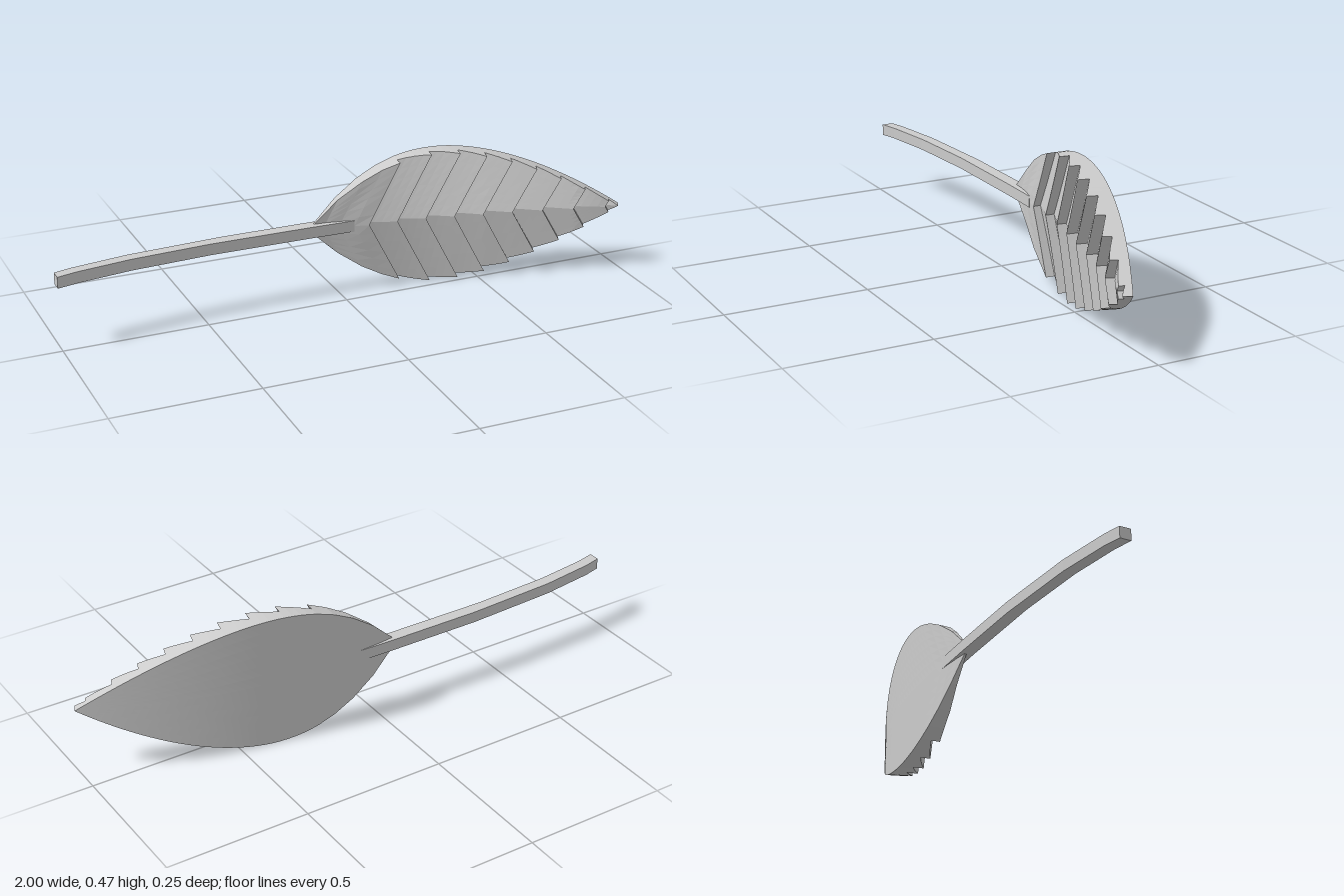
import * as THREE from 'three';

const MID = 0.235; // height of the midrib
const SWEEP = 0.53; // how far the chevrons lean towards the tip

// half width of the leaf outline at x
function halfWidth(x) {
  if (x <= -0.1 || x >= 1) return 0;
  return x < 0.38
    ? MID * (1 - Math.pow((0.38 - x) / 0.48, 2.2))
    : MID * (1 - Math.pow((x - 0.38) / 0.62, 1.8));
}

// where a chevron starting at c on the midrib meets the outline
function chevronReach(c) {
  let lo = 0, hi = 0.3;
  for (let i = 0; i < 40; i++) {
    const m = (lo + hi) / 2;
    if (m < halfWidth(c + SWEEP * m)) lo = m; else hi = m;
  }
  return lo;
}

// thickness at the crest of a ridge
const CREST = [[-0.1, 0.006], [0.08, 0.058], [0.2, 0.069], [0.43, 0.085], [0.54, 0.088],
  [0.65, 0.083], [0.75, 0.076], [0.86, 0.066], [0.95, 0.046], [1, 0.032]];
function crest(x) {
  for (let i = 1; i < CREST.length; i++) {
    const [x0, h0] = CREST[i - 1], [x1, h1] = CREST[i];
    if (x <= x1) return h0 + (h1 - h0) * (x - x0) / (x1 - x0);
  }
  return CREST[CREST.length - 1][1];
}

// bend the flat leaf: the thickness h stands square to the curved back
function bend(x, y, h) {
  const slope = 0.6 * (x - 0.15), n = Math.hypot(1, slope);
  return [x - slope * h / n, MID + y, -0.123 + 0.3 * (x - 0.15) ** 2 + h / n];
}

function leafGeometry() {
  const ROWS = 12, STEPS = 4;
  const joints = [-0.1];
  for (let k = 0; k < 9; k++) joints.push(0.11 + 0.106 * k);
  joints.push(1);

  // chevron columns: each band ramps up, then drops to the start of the next
  const columns = [];
  for (let b = 0; b < joints.length - 1; b++) {
    for (let i = 0; i <= STEPS; i++) {
      const s = i / STEPS;
      const c = joints[b] + (joints[b + 1] - joints[b]) * s;
      const w = chevronReach(c);
      const front = [], back = [];
      for (let j = 0; j <= ROWS; j++) {
        const y = w * (2 * j / ROWS - 1), x = c + SWEEP * Math.abs(y);
        front.push(bend(x, y, crest(x) * (1 - 0.45 * (1 - s))));
        back.push(bend(x, y, 0));
      }
      columns.push({ front, back });
    }
  }

  const pos = [];
  const quad = (a, b, c, d) => pos.push(...a, ...b, ...c, ...a, ...c, ...d);
  for (let i = 0; i < columns.length - 1; i++) {
    const p = columns[i], q = columns[i + 1];
    for (let j = 0; j < ROWS; j++) {
      quad(p.front[j], q.front[j], q.front[j + 1], p.front[j + 1]);
      quad(p.back[j], p.back[j + 1], q.back[j + 1], q.back[j]);
    }
    quad(p.front[ROWS], q.front[ROWS], q.back[ROWS], p.back[ROWS]);
    quad(p.front[0], p.back[0], q.back[0], q.front[0]);
  }
  const g = new THREE.BufferGeometry();
  g.setAttribute('position', new THREE.Float32BufferAttribute(pos, 3));
  g.computeVertexNormals();
  return g;
}

// square stem, a curved strip seen from above and extruded upwards
function stemGeometry() {
  const back = [[-1, -0.056], [-0.94, -0.072], [-0.74, -0.102], [-0.41, -0.122], [-0.1, -0.123], [0.06, -0.121]];
  const front = [[0.06, -0.074], [-0.1, -0.077], [-0.46, -0.077], [-0.74, -0.06], [-0.93, -0.033], [-1, -0.016]];
  const shape = new THREE.Shape([...back, ...front].map(([x, z]) => new THREE.Vector2(x, z)));
  const g = new THREE.ExtrudeGeometry(shape, { depth: 0.04, bevelEnabled: false });
  g.rotateX(Math.PI / 2);
  g.translate(0, MID + 0.02, 0);
  return g;
}

export function createModel() {
  const group = new THREE.Group();
  const material = new THREE.MeshStandardMaterial({ color: 0xcccccc, flatShading: true });
  const add = (name, geometry) => {
    const mesh = new THREE.Mesh(geometry, material);
    mesh.name = name;
    group.add(mesh);
  };
  add('leafBlade', leafGeometry());
  add('stem', stemGeometry());
  return group;
}
